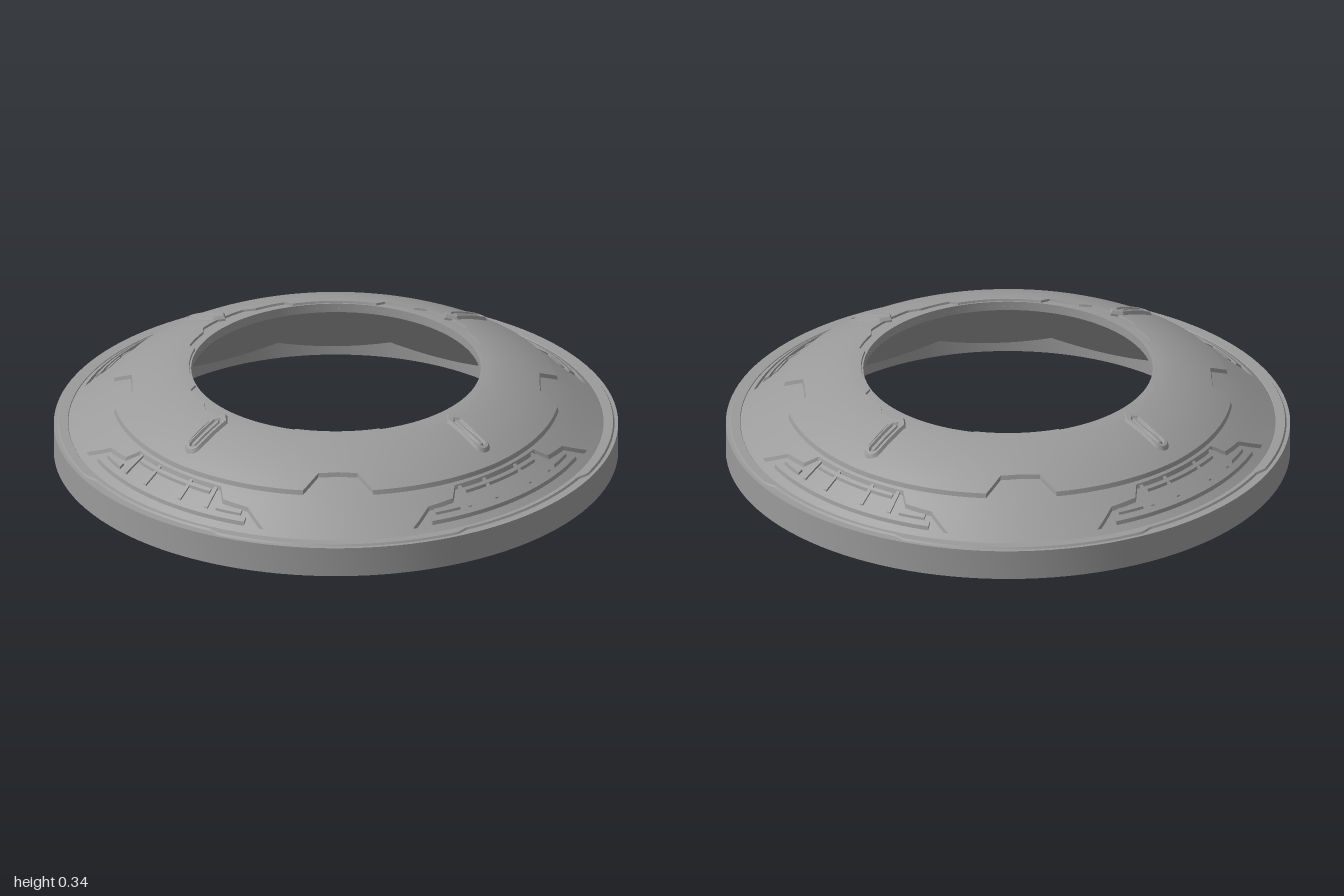
import * as THREE from 'three';
import { toCreasedNormals } from 'three/addons/utils/BufferGeometryUtils.js';

const RAD = Math.PI / 180;
const V = (x, y) => new THREE.Vector2(x, y);

// Dome profile: heights at radius 0.45, 0.50 ... 1.00
const HEIGHTS = [0.324, 0.323, 0.318, 0.306, 0.289, 0.268, 0.243, 0.214, 0.181, 0.147, 0.113, 0.08];
const domeCurve = new THREE.SplineCurve(HEIGHTS.map((y, i) => V(0.45 + i * 0.05, y)));
const dome = (r) => domeCurve.getPoint((r - 0.45) / 0.55).y;

// Panel outlines: [degrees from the nearest axis, radius], mirrored and repeated every 90 degrees
const HOLE_EDGE = [[0, 0.57], [10, 0.57], [14, 0.547], [26, 0.547], [28.5, 0.521], [45, 0.521]];
const STEP_EDGE = [[0, 0.797], [36, 0.793], [39.5, 0.725], [45, 0.72]];
const PANEL_TOP = [[0, 0.81], [14.3, 0.81], [16.4, 0.85], [23.2, 0.86], [28.4, 0.925], [45, 0.925]];
const RIM_EDGE = [[0, 0.965], [17, 0.965], [19.5, 0.982], [45, 0.982]];

function outline(points) {
  return (deg) => {
    let a = ((deg % 90) + 90) % 90;
    if (a > 45) a = 90 - a;
    for (let i = 1; i < points.length; i++) {
      const [a0, r0] = points[i - 1], [a1, r1] = points[i];
      if (a <= a1 + 1e-6) return r0 + ((r1 - r0) * (a - a0)) / (a1 - a0);
    }
    return points[points.length - 1][1];
  };
}

// All angles of a full turn, with the outline corners included
function fullTurn() {
  const set = new Set();
  for (let a = 0; a <= 360; a += 1.5) set.add(a);
  for (const line of [HOLE_EDGE, STEP_EDGE, PANEL_TOP, RIM_EDGE])
    for (const [a] of line)
      for (let q = 0; q <= 360; q += 90)
        for (const b of [q + a, q - a]) if (b >= 0 && b <= 360) set.add(b);
  return [...set].sort((a, b) => a - b);
}

function arc(from, to) {
  const n = Math.max(2, Math.ceil((to - from) / 2));
  return Array.from({ length: n + 1 }, (_, i) => from + ((to - from) * i) / n);
}

// Thick plate between two radius outlines; its walls slant outward by "slant" at the foot
function plate(angles, inner, outer, top, bottom, rows, slant) {
  const pos = [];
  const at = (i, j, h) => {
    const a = angles[i], r0 = inner(a);
    let r = r0 + ((outer(a) - r0) * j) / rows;
    if (h === bottom) r += j === 0 ? -slant : j === rows ? slant : 0;
    return [r * Math.sin(a * RAD), h(r), r * Math.cos(a * RAD)];
  };
  const quad = (a, b, c, d) => pos.push(...a, ...b, ...c, ...a, ...c, ...d);
  const last = angles.length - 1;
  for (let i = 0; i < last; i++) {
    for (let j = 0; j < rows; j++)
      quad(at(i, j, top), at(i, j + 1, top), at(i + 1, j + 1, top), at(i + 1, j, top));
    quad(at(i, rows, bottom), at(i + 1, rows, bottom), at(i + 1, rows, top), at(i, rows, top));
    quad(at(i + 1, 0, bottom), at(i, 0, bottom), at(i, 0, top), at(i + 1, 0, top));
  }
  if (angles[last] - angles[0] < 359) {
    for (let j = 0; j < rows; j++) {
      quad(at(0, j, bottom), at(0, j + 1, bottom), at(0, j + 1, top), at(0, j, top));
      quad(at(last, j + 1, bottom), at(last, j, bottom), at(last, j, top), at(last, j + 1, top));
    }
  }
  const geo = new THREE.BufferGeometry();
  geo.setAttribute('position', new THREE.Float32BufferAttribute(pos, 3));
  return toCreasedNormals(geo, 0.4);
}

// Capsule outline in (x, radius), pointed at the inner end
function capsule(half, r0, r1) {
  const pts = [];
  for (let i = 0; i <= 8; i++) pts.push(V(half * Math.cos(i * Math.PI / 8), r1 - half + half * Math.sin(i * Math.PI / 8)));
  for (let i = 1; i < 6; i++) pts.push(V(-half, r1 - half + ((r0 - r1 + 2 * half) * i) / 6));
  pts.push(V(-half, r0 + half), V(0, r0), V(half, r0 + half));
  for (let i = 1; i < 6; i++) pts.push(V(half, r0 + half + ((r1 - r0 - 2 * half) * i) / 6));
  return pts;
}

// Bevelled shape laid onto the dome, pointing outward along +z
function onDome(shape, lift) {
  const geo = new THREE.ExtrudeGeometry(shape, {
    depth: 0.012, bevelThickness: 0.012, bevelSize: 0.006, bevelSegments: 1,
  });
  const p = geo.attributes.position;
  for (let i = 0; i < p.count; i++) {
    const x = p.getX(i), r = p.getY(i), up = p.getZ(i);
    p.setXYZ(i, -x, dome(r) + lift + up, r);
  }
  return toCreasedNormals(geo, 0.4);
}

export function createModel() {
  const model = new THREE.Group();
  model.name = 'domedRing';
  const material = new THREE.MeshStandardMaterial({ color: 0x9b9b9b });
  const add = (name, geo, parent = model) => {
    const mesh = new THREE.Mesh(geo, material);
    mesh.name = name;
    parent.add(mesh);
  };
  const offset = (d) => (r) => dome(r) + d;
  const flat = (y) => () => y;
  const floor = offset(-0.014);

  // Base ring with the recessed floor of the dome
  const profile = [V(0.77, 0.1), V(0.77, 0), V(1, 0), V(1, 0.11), V(0.935, 0.11)];
  for (let i = 0; i <= 16; i++) {
    const r = 0.935 - ((0.935 - 0.513) * i) / 16;
    profile.push(V(r, dome(r) - 0.012));
  }
  profile.push(V(0.513, 0.295), V(0.54, 0.295));
  add('baseRing', toCreasedNormals(new THREE.LatheGeometry(profile, 120), 0.5));

  // Coarse cone inside, softly shaded
  add('innerCone', new THREE.LatheGeometry([V(0.531, 0.3), V(0.8, 0.03)], 12));

  // Dome plating
  const turn = fullTurn();
  const hole = outline(HOLE_EDGE), step = outline(STEP_EDGE);
  add('holeCollar', plate(turn, flat(0.513), hole, offset(0.006), floor, 2, 0));
  add('upperShell', plate(turn, hole, step, offset(0.014), floor, 10, 0.008));
  add('lowerShell', plate(turn, step, outline(PANEL_TOP), offset(0), floor, 4, 0.006));
  add('skirt', plate(turn, flat(0.925), flat(0.955), offset(0), flat(0.1), 2, 0.006));
  add('rimBand', plate(turn, flat(0.95), outline(RIM_EDGE), flat(0.117), flat(0.105), 1, 0.008));

  // Details repeated on the four sides
  const frame = new THREE.Shape(capsule(0.026, 0.558, 0.745));
  frame.holes.push(new THREE.Path(capsule(0.017, 0.582, 0.735)));
  const frameGeo = onDome(frame, 0.002);
  const coreGeo = onDome(new THREE.Shape(capsule(0.006, 0.596, 0.724)), 0);
  const detail = (from, to, r0, r1, lift) =>
    plate(arc(from, to), flat(r0), flat(r1), offset(lift), offset(-0.016), 2, 0.004);
  const slatGeo = detail(-23.5, 23.5, 0.892, 0.91, 0);
  const ledgeGeo = detail(-12, 12, 0.823, 0.833, -0.003);
  const ribs = [-13, -5.5, 5.5, 13].map((a) => detail(a - 0.45, a + 0.45, 0.812, 0.885, -0.004));
  const blocks = [-18.75, 18.75].map((a) => detail(a - 3.2, a + 3.2, 0.869, 0.882, -0.002));

  for (let i = 0; i < 4; i++) {
    const side = new THREE.Group();
    side.name = 'sideDetails' + (i + 1);
    side.rotation.y = (i * Math.PI) / 2;
    add('slotFrame', frameGeo, side);
    add('slotCore', coreGeo, side);
    add('panelSlat', slatGeo, side);
    add('panelLedge', ledgeGeo, side);
    ribs.forEach((g) => add('panelRib', g, side));
    blocks.forEach((g) => add('panelBlock', g, side));
    model.add(side);
  }
  return model;
}
